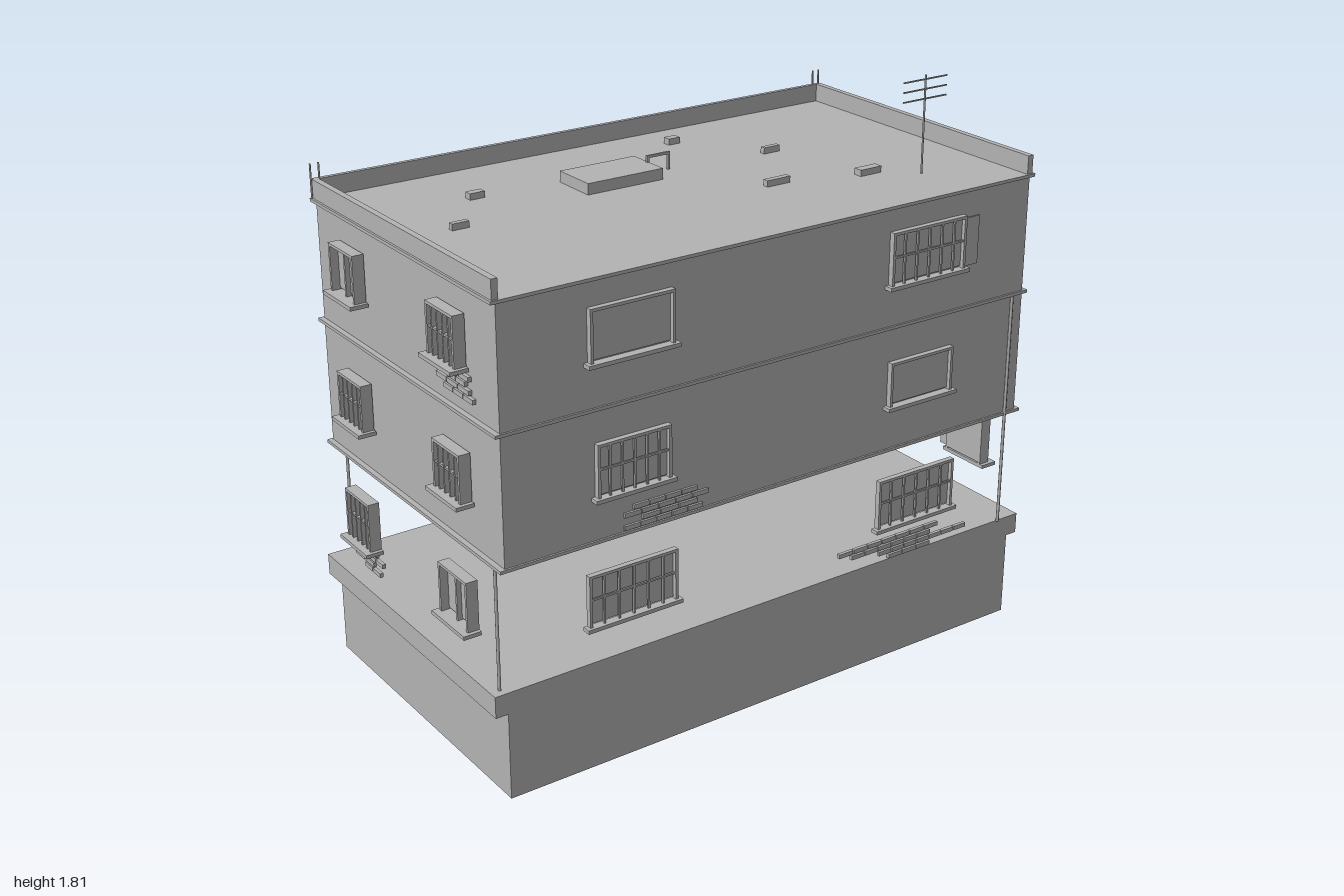
import * as THREE from 'three';

const concrete = new THREE.MeshStandardMaterial({ color: 0xb3b3b3 });
concrete.name = 'concreteGrey';

// Box given by its min and max on each axis
function box(parent, name, x0, x1, y0, y1, z0, z1) {
  const m = new THREE.Mesh(new THREE.BoxGeometry(x1 - x0, y1 - y0, z1 - z0), concrete);
  m.position.set((x0 + x1) / 2, (y0 + y1) / 2, (z0 + z1) / 2);
  m.name = name;
  parent.add(m);
  return m;
}

// Upright pipe or rod
function post(parent, name, x, z, y0, y1, r) {
  const m = new THREE.Mesh(new THREE.CylinderGeometry(r, r, y1 - y0, 8), concrete);
  m.position.set(x, (y0 + y1) / 2, z);
  m.name = name;
  parent.add(m);
}

// Window on a wall: u runs along the wall, z points outwards
function addWindow(wall, d, { u, y, w, h, bars = 0, mullions = 0, shutter = 0 }) {
  const g = new THREE.Group();
  g.name = bars ? 'barredWindow' : 'window';
  g.position.set(u, y, 0);
  wall.add(g);
  const a = w / 2, b = h / 2, t = 0.009;
  box(g, 'pane', -a + t, a - t, -b + t, b - t, 0, d * 0.3);
  for (const s of [-1, 1]) {
    box(g, 'jamb', Math.min(s * a, s * (a - t)), Math.max(s * a, s * (a - t)), -b, b, 0, d);
  }
  box(g, 'lintel', -a + t, a - t, b - t, b, 0, d);
  box(g, 'sill', -a - 0.012, a + 0.012, -b - 0.008, -b + 0.004, 0, d * 1.55);
  for (let i = 1; i <= mullions; i++) {
    const x = -a + (w * i) / (mullions + 1);
    box(g, 'mullion', x - 0.004, x + 0.004, -b, b - t, d * 0.2, d * 0.7);
  }
  for (let i = 1; i <= bars; i++) {
    const x = -a + (w * i) / (bars + 1);
    box(g, 'bar', x - 0.003, x + 0.003, -b, b - t, d * 0.6, d * 0.95);
  }
  if (bars) box(g, 'crossBar', -a + t, a - t, b * 0.08 - 0.003, b * 0.08 + 0.003, d * 0.6, d * 0.9);
  if (shutter) box(g, 'shutter', a, a + shutter, -b + 0.006, b - 0.01, d * 0.3, d * 0.6);
}

// Patch of exposed bricks; each row is [start, end] along the wall, from top down
function addBricks(wall, yTop, rows) {
  const g = new THREE.Group();
  g.name = 'brickPatch';
  wall.add(g);
  rows.forEach(([a, b], r) => {
    const n = Math.max(1, Math.round((b - a) / 0.055)), step = (b - a) / n;
    const y = yTop - r * 0.0195;
    for (let i = 0; i < n; i++) {
      box(g, 'brick', a + i * step, a + (i + 1) * step - 0.003, y - 0.014, y, -0.004, 0.007);
    }
  });
}

export function createModel() {
  const model = new THREE.Group();
  model.name = 'apartmentBlock';
  const W = 0.94, D = 0.515;

  // Base with side ledges, and the two upper storeys over an open ground floor
  box(model, 'base', -W, W, 0, 0.345, -D, D);
  for (const s of [-1, 1]) {
    box(model, 'baseLedge', s < 0 ? -0.98 : W, s < 0 ? -W : 0.98, 0.277, 0.345, -D, D);
  }
  box(model, 'middleStorey', -W + 0.005, W - 0.005, 0.722, 1.12, -D, D);
  box(model, 'topStorey', -W + 0.005, W - 0.005, 1.12, 1.502, -D, D);
  for (const y of [0.72, 1.12, 1.495]) {
    box(model, 'floorBand', -0.952, 0.952, y, y + 0.01, -D - 0.006, D + 0.006);
  }

  // Parapet on the back and both ends
  box(model, 'backParapet', -W, W, 1.5, 1.563, -0.522, -0.508);
  box(model, 'leftParapet', 0.925, 0.945, 1.5, 1.563, -D, D);
  box(model, 'rightParapet', -0.945, -0.925, 1.5, 1.563, -D, D);

  // Drain pipes
  [
    [0.89, 0.52, 0.345, 1.12], [-0.89, -0.52, 0.345, 1.5], [0.89, -0.52, 0.345, 0.72],
    [-0.95, 0.488, 0.345, 0.72], [0.947, -0.483, 1.13, 1.495],
  ].forEach(([x, z, y0, y1]) => post(model, 'drainPipe', x, z, y0, y1, 0.005));

  // Rods on the back corners
  for (const x of [-0.947, -0.92, 0.913, 0.937]) post(model, 'cornerRod', x, -0.515, 1.5, 1.61, 0.003);

  // Roof hatch, vent pipe and loose blocks
  box(model, 'roofHatch', -0.272, -0.005, 1.5, 1.54, -0.232, -0.077);
  box(model, 'ventPipe', -0.005, 0.072, 1.553, 1.561, -0.159, -0.151);
  box(model, 'ventPipeLeg', 0.064, 0.072, 1.505, 1.553, -0.159, -0.151);
  box(model, 'ventPipeFoot', -0.012, -0.004, 1.53, 1.561, -0.159, -0.151);
  [
    [-0.555, -0.245, 0.05, 0.026], [-0.73, -0.03, 0.055, 0.018], [0.235, -0.375, 0.042, 0.028],
    [0.432, -0.12, 0.06, 0.018], [0.247, 0.155, 0.085, 0.02], [0.538, 0.228, 0.08, 0.03],
  ].forEach(([x, z, w, d]) =>
    box(model, 'roofBlock', x - w / 2, x + w / 2, 1.5, 1.525, z - d / 2, z + d / 2));

  // Aerial
  post(model, 'aerialMast', 0.67, 0.322, 1.5, 1.81, 0.003);
  for (const y of [1.797, 1.767, 1.737]) box(model, 'aerialArm', 0.585, 0.755, y - 0.002, y + 0.002, 0.32, 0.324);

  // Four wall groups turned outwards
  const makeWall = (name, angle, dist) => {
    const g = new THREE.Group();
    g.name = name;
    g.rotation.y = angle;
    g.position.set(Math.sin(angle) * dist, 0, Math.cos(angle) * dist);
    model.add(g);
    return g;
  };
  const front = makeWall('frontWall', 0, D);
  const back = makeWall('backWall', Math.PI, D);
  const left = makeWall('leftWall', Math.PI / 2, W);
  const right = makeWall('rightWall', -Math.PI / 2, W);

  [
    { u: -0.527, y: 0.55, w: 0.3, h: 0.165, bars: 5 },
    { u: 0.522, y: 0.55, w: 0.3, h: 0.165, bars: 5 },
    { u: -0.52, y: 0.943, w: 0.245, h: 0.165, bars: 5 },
    { u: 0.522, y: 0.943, w: 0.245, h: 0.145 },
    { u: -0.522, y: 1.343, w: 0.275, h: 0.16 },
    { u: 0.53, y: 1.343, w: 0.285, h: 0.168, bars: 5, shutter: 0.055 },
  ].forEach(o => addWindow(front, 0.018, o));

  [
    { u: -0.52, y: 0.55, w: 0.265, h: 0.165, bars: 5 },
    { u: 0.527, y: 0.55, w: 0.295, h: 0.165, bars: 5 },
    { u: -0.52, y: 0.943, w: 0.285, h: 0.165, bars: 5 },
    { u: 0.527, y: 0.943, w: 0.295, h: 0.16, mullions: 1 },
    { u: -0.52, y: 1.343, w: 0.265, h: 0.165, bars: 5 },
    { u: 0.527, y: 1.343, w: 0.255, h: 0.165, bars: 5 },
  ].forEach(o => addWindow(back, 0.018, o));

  [
    { u: -0.29, y: 0.555, w: 0.165, h: 0.165, mullions: 2, shutter: 0.04 },
    { u: 0.285, y: 0.555, w: 0.16, h: 0.15, bars: 3 },
    { u: -0.285, y: 0.943, w: 0.16, h: 0.14, mullions: 1 },
    { u: 0.285, y: 0.945, w: 0.15, h: 0.165, mullions: 1 },
    { u: -0.285, y: 1.343, w: 0.16, h: 0.16, bars: 5 },
    { u: 0.285, y: 1.343, w: 0.14, h: 0.14, bars: 4 },
  ].forEach(o => addWindow(left, 0.037, o));

  [
    { u: 0.29, y: 0.555, w: 0.16, h: 0.16, mullions: 1 },
    { u: -0.29, y: 0.555, w: 0.15, h: 0.16, bars: 4 },
    { u: 0.285, y: 0.943, w: 0.15, h: 0.15, bars: 4 },
    { u: -0.29, y: 0.943, w: 0.15, h: 0.15, bars: 4 },
    { u: 0.285, y: 1.343, w: 0.15, h: 0.155, bars: 4 },
    { u: -0.29, y: 1.343, w: 0.15, h: 0.15, mullions: 1 },
  ].forEach(o => addWindow(right, 0.037, o));

  // Exposed bricks
  addBricks(front, 0.807, [[-0.52, -0.3], [-0.55, -0.26], [-0.49, -0.3], [-0.55, -0.28]]);
  addBricks(front, 0.422, [[0.23, 0.63], [0.28, 0.6], [0.39, 0.75], [0.43, 0.6]]);
  addBricks(left, 0.838, [[0.27, 0.45], [0.3, 0.4], [0.27, 0.45], [0.29, 0.41], [0.27, 0.38]]);
  addBricks(left, 0.452, [[0.29, 0.42], [0.22, 0.4], [0.18, 0.45], [0.26, 0.4], [0.2, 0.36]]);
  addBricks(back, 1.245, [[0.5, 0.72], [0.54, 0.8], [0.58, 0.76], [0.56, 0.82], [0.64, 0.82]]);
  addBricks(back, 0.427, [[-0.57, -0.34], [-0.5, -0.25], [-0.46, -0.3]]);
  addBricks(right, 1.245, [[0.22, 0.38], [0.26, 0.36], [0.2, 0.38], [0.24, 0.4]]);
  addBricks(right, 0.452, [[-0.36, -0.24], [-0.34, -0.2], [-0.38, -0.26], [-0.32, -0.22]]);

  return model;
}
